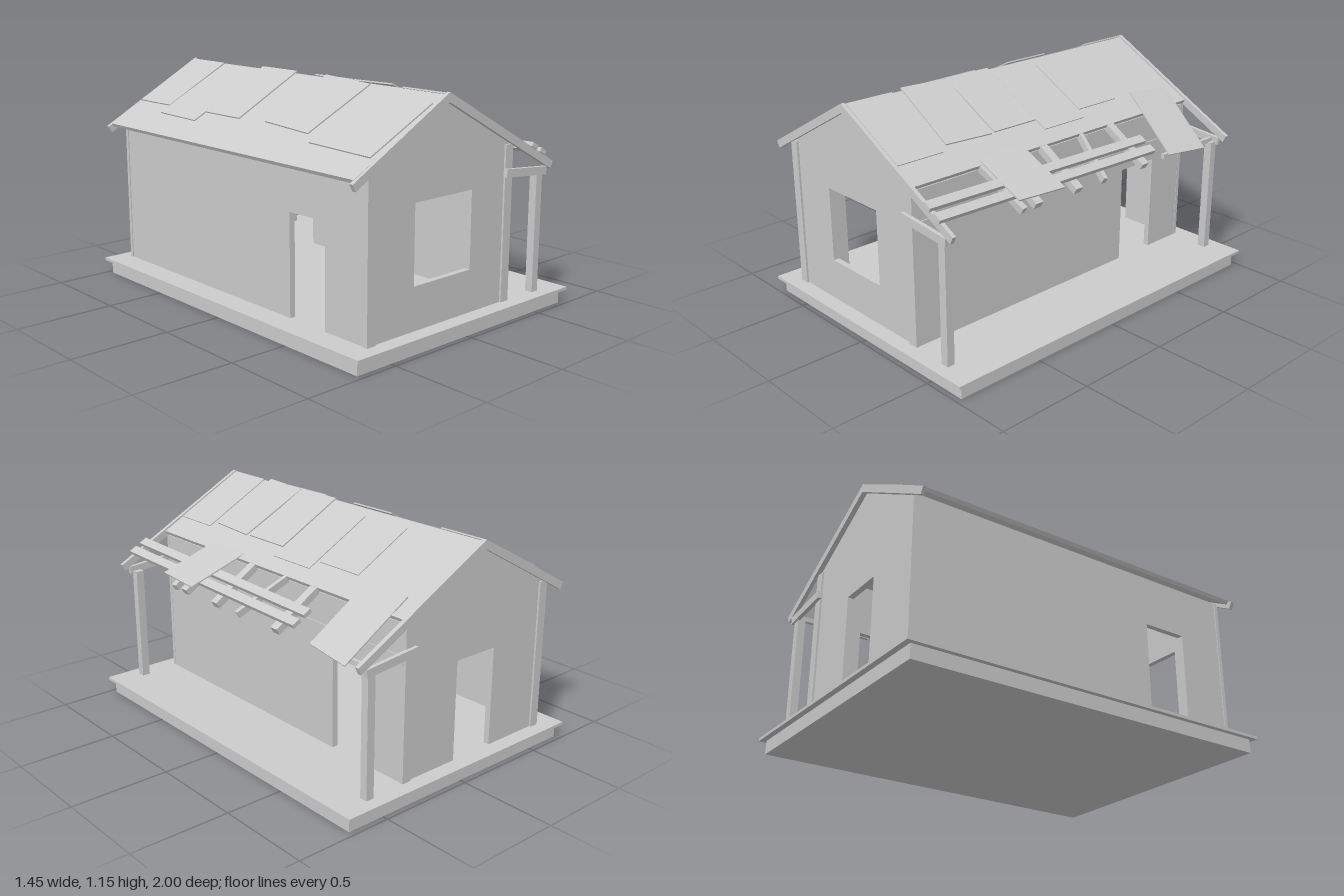
import * as THREE from 'three';

const RIDGE_X = -0.13, SLOPE = 0.535;
const roofY = (x) => 1.135 - Math.abs(x - RIDGE_X) * SLOPE;

export function createModel() {
  const group = new THREE.Group();
  const mat = new THREE.MeshStandardMaterial({ color: 0xcccccc, flatShading: true });

  function add(name, geometry) {
    const mesh = new THREE.Mesh(geometry, mat);
    mesh.name = name;
    group.add(mesh);
    return mesh;
  }

  // Upright box given by its limits
  function box(name, x0, x1, y0, y1, z0, z1) {
    add(name, new THREE.BoxGeometry(x1 - x0, y1 - y0, z1 - z0))
      .position.set((x0 + x1) / 2, (y0 + y1) / 2, (z0 + z1) / 2);
  }

  // Board running from a to b; its width lies along the across direction
  function board(name, a, b, width, thick, across = [0, 0, 1]) {
    const A = new THREE.Vector3(...a), B = new THREE.Vector3(...b);
    const X = B.clone().sub(A), length = X.length();
    X.normalize();
    const Z = new THREE.Vector3(...across);
    Z.addScaledVector(X, -Z.dot(X)).normalize();
    const Y = Z.clone().cross(X);
    const mesh = add(name, new THREE.BoxGeometry(length, thick, width));
    mesh.quaternion.setFromRotationMatrix(new THREE.Matrix4().makeBasis(X, Y, Z));
    mesh.position.copy(A.add(B).multiplyScalar(0.5));
  }

  // Wall outline, with an optional doorway cut up from the floor
  function wall(name, tops, door) {
    const FLOOR = 0.085, pts = [[tops[0][0], FLOOR]];
    if (door) pts.push([door[0], FLOOR], [door[0], 0.59], [door[1], 0.59], [door[1], FLOOR]);
    pts.push([tops[tops.length - 1][0], FLOOR], ...[...tops].reverse());
    const shape = new THREE.Shape(pts.map((p) => new THREE.Vector2(...p)));
    if (name === 'frontWall') {
      shape.holes.push(new THREE.Path([
        [-0.31, 0.295], [-0.31, 0.675], [0.065, 0.675], [0.065, 0.295],
      ].map((p) => new THREE.Vector2(...p))));
    }
    return add(name, new THREE.ExtrudeGeometry(shape, { depth: 0.03, bevelEnabled: false }));
  }

  // Foundation and floor
  box('foundation', -0.7, 0.7, 0, 0.07, -0.97, 0.97);
  box('floorDeck', -0.725, 0.725, 0.07, 0.085, -1, 1);

  // Gable walls: window in front, doorway at the back
  const gable = [[-0.6, 0.85], [RIDGE_X, 1.1], [0.34, 0.85]];
  wall('frontWall', gable).position.z = 0.89;
  wall('backWall', gable, [-0.25, 0]).position.z = -0.92;

  // Side walls, each with a doorway
  const eave = [[-0.89, 0.85], [0.89, 0.85]];
  for (const [name, x, door] of [
    ['rightWall', -0.57, [0.42, 0.66]],
    ['leftWall', 0.34, [-0.69, -0.45]],
  ]) {
    const mesh = wall(name, eave, door);
    mesh.rotation.y = -Math.PI / 2;
    mesh.position.x = x;
  }
  box('wallPlate', 0.34, 0.346, 0.655, 0.7, -0.915, 0.915);

  // Both gable ends: corner boards, barge boards, porch post and tie
  for (const s of [-1, 1]) {
    const z0 = s > 0 ? 0.91 : -0.93, z1 = z0 + 0.02;
    box('cornerBoard', -0.605, -0.555, 0.085, 0.85, z0, z1);
    box('cornerBoard', 0.29, 0.342, 0.085, 0.855, z0, z1);
    box('porchPost', 0.525, 0.568, 0.085, 0.69, s * 0.915 - 0.02, s * 0.915 + 0.02);
    board('porchTie', [0.283, 0.722, s * 0.937], [0.585, 0.695, s * 0.937], 0.02, 0.04);

    // Barge boards joined in one chevron
    const chevron = new THREE.Shape([
      [-0.71, 0.82], [-0.692, 0.786], [RIDGE_X, 1.098], [0.618, 0.7], [0.635, 0.735], [RIDGE_X, 1.142],
    ].map((p) => new THREE.Vector2(...p)));
    add('bargeBoards', new THREE.ExtrudeGeometry(chevron, { depth: 0.02, bevelEnabled: false }))
      .position.z = s * 0.936 - 0.01;
  }

  // Roof decks: full on one side, ending at the wall above the porch
  for (const x of [-0.685, 0.35]) {
    board('roofDeck', [RIDGE_X, roofY(RIDGE_X) - 0.013, 0], [x, roofY(x) - 0.013, 0], 1.86, 0.02);
  }

  // Roofing sheets: upper x, upper z, lower x, lower z, width, lift
  const sheets = [
    [-0.14, -0.795, -0.5, -0.795, 0.27, 0.005], [-0.2, -0.495, -0.56, -0.505, 0.31, 0.003],
    [-0.13, -0.205, -0.5, -0.205, 0.27, 0.007], [-0.14, 0.31, -0.5, 0.28, 0.33, 0.008],
    [-0.2, 0.715, -0.56, 0.7, 0.4, 0.003],
    [-0.13, 0.79, 0.24, 0.79, 0.26, 0], [-0.13, 0.47, 0.22, 0.49, 0.27, 0.006],
    [-0.13, 0.2, 0.22, 0.2, 0.27, 0.004], [-0.08, -0.075, 0.28, -0.075, 0.27, 0],
    [-0.08, -0.365, 0.23, -0.365, 0.27, 0],
  ];
  for (const [xa, za, xb, zb, width, lift] of sheets) {
    board('roofSheet', [xa, roofY(xa) + lift, za], [xb, roofY(xb) + lift, zb], width, 0.007);
  }

  // Loose sheets slipping over the porch
  board('looseSheet', [0.253, 0.95, -0.728], [0.575, 0.698, -0.68], 0.26, 0.007);
  board('looseSheet', [0.253, 0.915, 0.383], [0.62, 0.778, 0.41], 0.27, 0.007);

  // Exposed porch rafters, some knocked askew
  for (const [za, zb, width] of [
    [-0.33, -0.33, 0.045], [-0.12, -0.04, 0.022], [0.14, 0.14, 0.045], [0.4, 0.4, 0.045], [0.53, 0.49, 0.03],
  ]) {
    board('porchRafter', [0.342, 0.86, za], [0.585, 0.71, zb], width, 0.035);
  }

  // Sagging purlins and the broken end of the porch beam
  for (const [x, y] of [[0.478, 0.83], [0.542, 0.796]]) {
    board('porchPurlin', [x, y, 0.955], [x, y - 0.032, -0.435], 0.046, 0.022, [1, -SLOPE, 0]);
  }
  box('brokenPorchBeam', 0.528, 0.547, 0.685, 0.71, -0.93, -0.53);

  return group;
}
